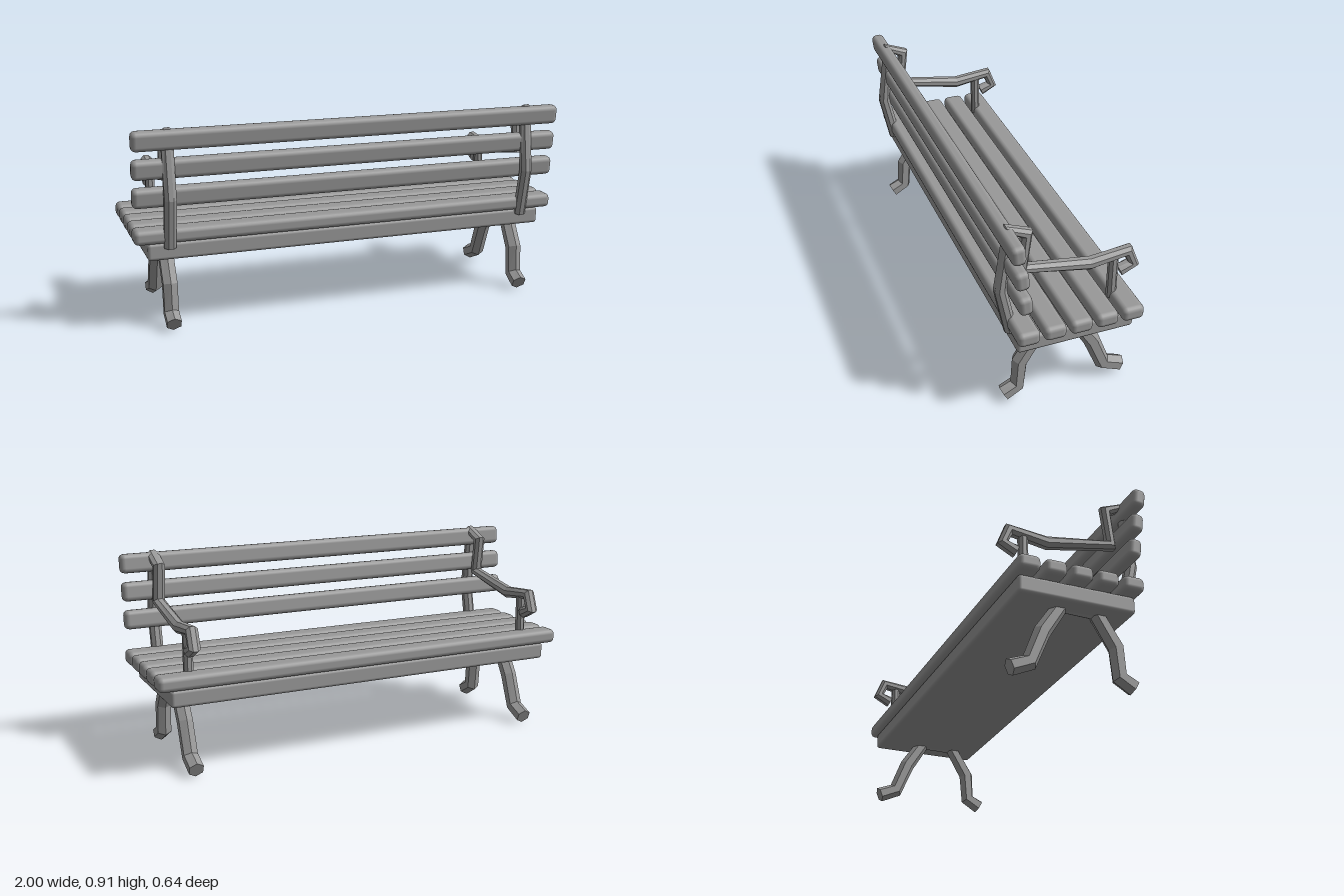
import * as THREE from 'three';
import { RoundedBoxGeometry } from 'three/addons/geometries/RoundedBoxGeometry.js';

const grey = new THREE.MeshStandardMaterial({ color: 0x999999 });
grey.name = 'grey';

// Faceted bar swept along [z, y] points, with its sections on the corner bisectors
function bar(path, radius, sides) {
  const pts = path.map(([z, y]) => new THREE.Vector3(0, y, z));
  const dir = (i) => pts[i + 1].clone().sub(pts[i]).normalize();
  const last = pts.length - 1;
  const rings = pts.map((p, i) => {
    const t = new THREE.Vector3();
    if (i > 0) t.add(dir(i - 1));
    if (i < last) t.add(dir(i));
    t.normalize();
    const n = new THREE.Vector3(0, t.z, -t.y);
    return Array.from({ length: sides }, (_, j) => {
      const a = ((j + 0.5) / sides) * Math.PI * 2;
      return new THREE.Vector3(Math.cos(a) * radius, 0, 0).add(p).addScaledVector(n, Math.sin(a) * radius);
    });
  });
  const tris = [];
  for (let j = 0; j < sides; j++) {
    const k = (j + 1) % sides;
    for (let i = 0; i < last; i++) {
      const a = rings[i][j], b = rings[i][k], c = rings[i + 1][k], d = rings[i + 1][j];
      tris.push(a, b, c, a, c, d);
    }
    tris.push(pts[0], rings[0][k], rings[0][j]);
    tris.push(pts[last], rings[last][j], rings[last][k]);
  }
  const geo = new THREE.BufferGeometry().setFromPoints(tris);
  geo.computeVertexNormals();
  return geo;
}

export function createModel() {
  const bench = new THREE.Group();
  bench.name = 'bench';
  const add = (name, geo, x = 0, y = 0, z = 0, tilt = 0) => {
    const mesh = new THREE.Mesh(geo, grey);
    mesh.name = name;
    mesh.position.set(x, y, z);
    mesh.rotation.x = tilt;
    bench.add(mesh);
  };

  // Seat base and slats
  add('seatBase', new RoundedBoxGeometry(1.885, 0.078, 0.522, 2, 0.015), 0, 0.361, -0.01);
  const seatSlat = new RoundedBoxGeometry(2, 0.066, 0.097, 2, 0.022);
  for (let i = 0; i < 5; i++) add('seatSlat', seatSlat, 0, 0.432, 0.22 - i * 0.1157);

  // Leaning backrest slats
  const backSlat = new RoundedBoxGeometry(2, 0.087, 0.06, 2, 0.022);
  for (let i = 0; i < 3; i++) add('backSlat', backSlat, 0, 0.857 - i * 0.126, 0.27 - i * 0.0165, 0.11);

  // Back post that folds over the top and runs on into the scrolled armrest
  const arm = bar([
    [0.247, 0.38], [0.293, 0.6], [0.261, 0.887], [0.182, 0.852], [0.201, 0.685],
    [-0.1, 0.63], [-0.271, 0.652], [-0.299, 0.584], [-0.237, 0.557],
  ], 0.0285, 8);
  const support = bar([[-0.207, 0.43], [-0.207, 0.63]], 0.0222, 8);

  // Front and rear legs bent from one bar passing under the seat
  const legs = bar([
    [0.276, 0.034], [0.213, 0.069], [0.203, 0.198], [0.112, 0.346],
    [-0.04, 0.349], [-0.128, 0.213], [-0.187, 0.069], [-0.271, 0.034],
  ], 0.0365, 6);

  for (const x of [-0.845, 0.845]) {
    add('backPostAndArmrest', arm, x);
    add('armSupport', support, x);
    add('legs', legs, x);
  }
  return bench;
}
